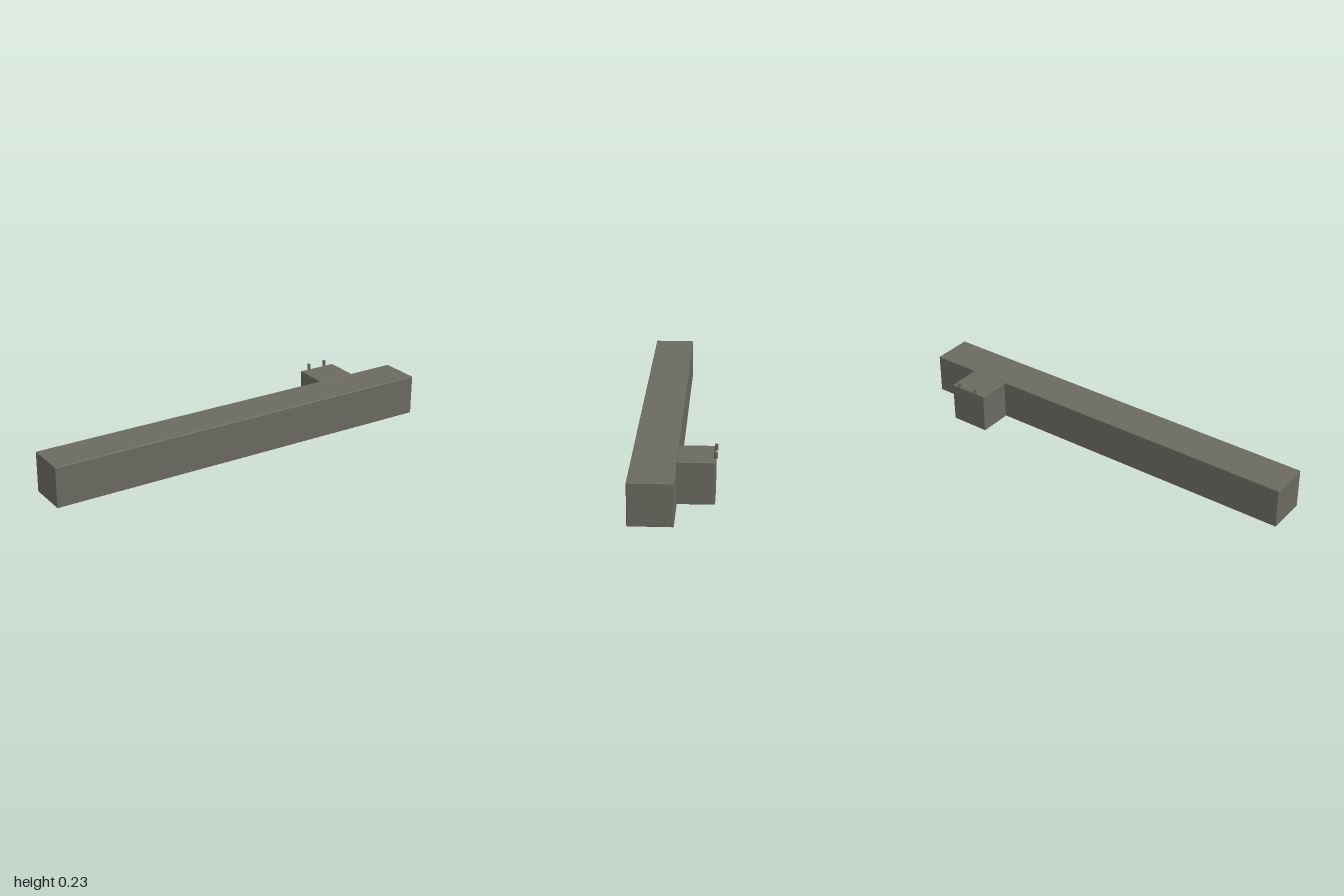
import * as THREE from 'three';
import { RoundedBoxGeometry } from 'three/addons/geometries/RoundedBoxGeometry.js';

export function createModel() {
  const model = new THREE.Group();
  const stone = new THREE.MeshStandardMaterial({ color: 0x6b6a60 });
  stone.name = 'warmGrey';

  const add = (name, geometry, x, y, z) => {
    const mesh = new THREE.Mesh(geometry, stone);
    mesh.name = name;
    mesh.position.set(x, y, z);
    model.add(mesh);
  };

  // Block with slightly softened edges, given by its minimum and maximum corners
  const block = (name, min, max) => {
    const size = max.map((v, i) => v - min[i]);
    const centre = max.map((v, i) => (v + min[i]) / 2);
    add(name, new RoundedBoxGeometry(...size, 2, 0.004), ...centre);
  };

  // Long beam and the short block joined to its back
  block('beam', [-1, 0.002, -0.012], [1, 0.2, 0.187]);
  block('backBlock', [0.565, 0.002, -0.178], [0.763, 0.2, -0.012]);

  // Pair of pegs standing on the block's rear edge
  for (const [name, side] of [['leftPeg', 1], ['rightPeg', -1]]) {
    add(name, new THREE.CylinderGeometry(0.008, 0.008, 0.028, 16), 0.664 + side * 0.048, 0.214, -0.179);
  }
  return model;
}
